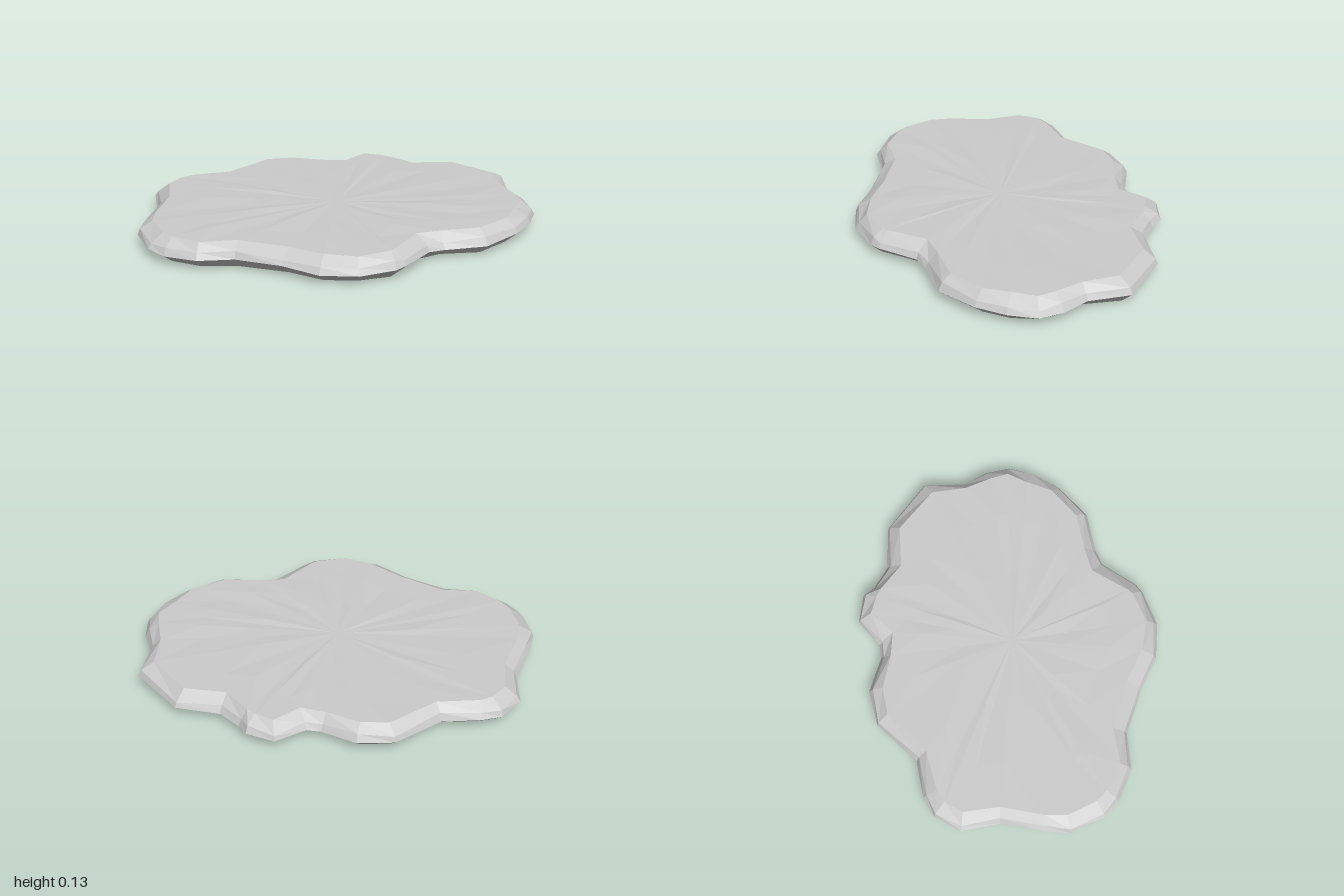
import * as THREE from 'three';

// Rim of the slab at its widest, as [x, z], starting at the back
const OUTLINE = [
  [-0.32, -0.73], [-0.14, -0.75], [0.03, -0.67], [0.10, -0.67], [0.24, -0.76], [0.38, -0.72],
  [0.42, -0.66], [0.52, -0.58], [0.74, -0.55], [0.96, -0.33], [0.94, -0.12], [0.99, 0.01],
  [1.00, 0.13], [0.94, 0.26], [0.84, 0.38], [0.66, 0.50], [0.45, 0.51], [0.37, 0.53],
  [0.23, 0.68], [0.18, 0.71], [0.00, 0.75], [-0.18, 0.71], [-0.34, 0.60], [-0.55, 0.49],
  [-0.73, 0.48], [-0.88, 0.39], [-0.95, 0.31], [-1.00, 0.13], [-0.97, 0.00], [-0.90, -0.20],
  [-0.91, -0.39], [-0.82, -0.51], [-0.72, -0.55], [-0.53, -0.56],
];
const N = OUTLINE.length;

// Repeatable unevenness between -1 and 1
const wobble = (i, k) => Math.sin(i * 2.3 + k * 1.7) * Math.cos(i * 0.9 - k * 2.1);

// Outline moved inwards along its local normal
function insetRing(inset, height) {
  return OUTLINE.map(([x, z], i) => {
    const [ax, az] = OUTLINE[(i + N - 1) % N];
    const [bx, bz] = OUTLINE[(i + 1) % N];
    const length = Math.hypot(bx - ax, bz - az);
    const d = inset(i);
    return [x - ((bz - az) / length) * d, height(i), z + ((bx - ax) / length) * d];
  });
}

// Ring drawn in towards the middle
const scaledRing = (ring, s, height) => ring.map(([x, , z], i) => [x * s, height(i), z * s]);

export function createModel() {
  const group = new THREE.Group();
  group.name = 'stoneSlab';

  // Cross-sections from the bottom middle, round the rim, to the top middle
  const bottom = insetRing((i) => 0.07 + 0.012 * wobble(i, 1), () => 0);
  const top = insetRing((i) => 0.072 + 0.018 * wobble(i, 4), () => 0.129);
  const dent = (k) => (i) => 0.13 + 0.003 * wobble(i, k);
  const rings = [
    scaledRing(bottom, 0, () => 0),
    bottom,
    insetRing(() => 0, (i) => 0.058 + 0.008 * wobble(i, 2)),
    insetRing((i) => 0.017 + 0.008 * wobble(i, 3), (i) => 0.09 + 0.01 * wobble(i, 5)),
    top,
    scaledRing(top, 0.75, dent(6)),
    scaledRing(top, 0.4, dent(7)),
    scaledRing(top, 0, () => 0.13),
  ];

  const index = [];
  const last = rings.length - 2;
  for (let j = 0; j <= last; j++) {
    for (let i = 0; i < N; i++) {
      const a = j * N + i;
      const b = j * N + ((i + 1) % N);
      if (j < last) index.push(a, a + N, b + N);
      if (j > 0) index.push(a, b + N, b);
    }
  }

  const geometry = new THREE.BufferGeometry();
  geometry.setAttribute('position', new THREE.Float32BufferAttribute(rings.flat(2), 3));
  geometry.setIndex(index);
  geometry.computeVertexNormals();

  const slab = new THREE.Mesh(
    geometry,
    new THREE.MeshStandardMaterial({ color: 0xcccccc, flatShading: true }),
  );
  slab.name = 'slab';
  group.add(slab);
  return group;
}
